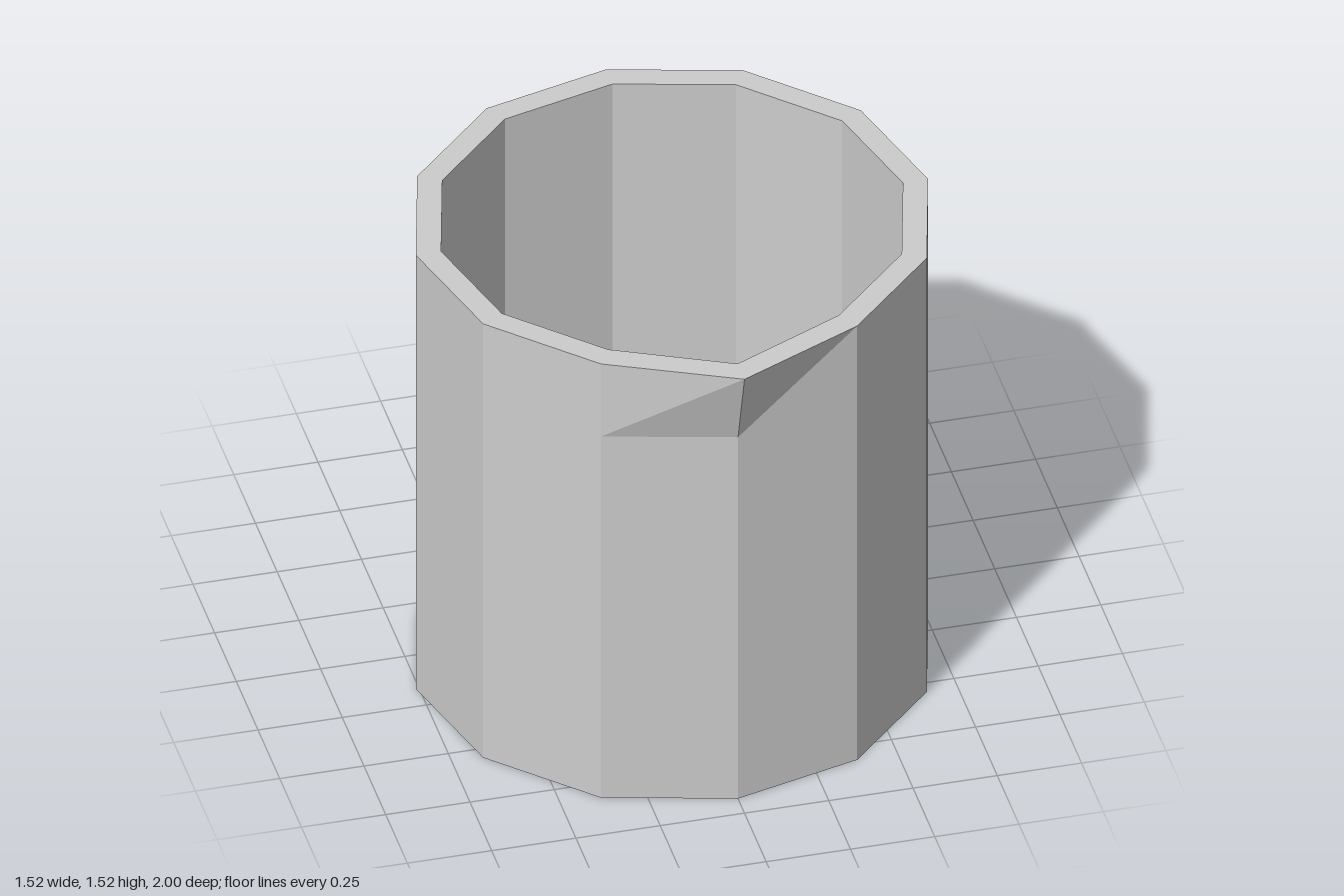
import * as THREE from 'three';

const SIDES = 12;
const CENTRE_Z = 0.165;

// Ring of points around the jug; the front corner is pushed out by `lip`
function ring(radius, y, lip = 0) {
  return Array.from({ length: SIDES }, (_, i) => {
    const a = (i / SIDES) * Math.PI * 2;
    return new THREE.Vector3(Math.sin(a) * radius, y, CENTRE_Z + Math.cos(a) * radius + (i === 0 ? lip : 0));
  });
}

// Flat-faced skin joining successive rings
function skin(rings) {
  const pos = [];
  const tri = (a, b, c) => {
    if (a.distanceTo(b) < 1e-6 || b.distanceTo(c) < 1e-6 || c.distanceTo(a) < 1e-6) return;
    for (const p of [a, b, c]) pos.push(p.x, p.y, p.z);
  };
  for (let r = 0; r < rings.length - 1; r++) {
    for (let i = 0; i < SIDES; i++) {
      const j = (i + 1) % SIDES;
      const [a, b, c, d] = [rings[r][i], rings[r][j], rings[r + 1][j], rings[r + 1][i]];
      tri(a, b, c);
      tri(a, c, d);
    }
  }
  const geometry = new THREE.BufferGeometry();
  geometry.setAttribute('position', new THREE.Float32BufferAttribute(pos, 3));
  geometry.computeVertexNormals();
  return geometry;
}

export function createModel() {
  const group = new THREE.Group();
  group.name = 'jug';
  const grey = new THREE.MeshStandardMaterial({ color: 0xcccccc });
  grey.name = 'light grey';

  // Hollow body: underside, wall, pouring lip, rim, inside wall and floor
  const body = new THREE.Mesh(skin([
    ring(0, 0),
    ring(0.76, 0),
    ring(0.76, 1.27),
    ring(0.76, 1.525, 0.075),
    ring(0.685, 1.525, 0.07),
    ring(0.685, 0.08, 0.012),
    ring(0, 0.08),
  ]), grey);
  body.name = 'body';
  group.add(body);

  // Handle: bent bar outline (distance behind centre, height)
  const outline = [
    [0.565, 1.05], [0.74, 1.05], [0.94, 1.0], [1.0, 0.82], [1.0, 0.61], [0.957, 0.395], [0.74, 0.33], [0.565, 0.33],
    [0.565, 0.53], [0.74, 0.53], [0.807, 0.527], [0.803, 0.61], [0.803, 0.82], [0.807, 0.862], [0.74, 0.853], [0.565, 0.853],
  ];
  const shape = new THREE.Shape(outline.map(([u, v]) => new THREE.Vector2(u, v)));
  const handleGeometry = new THREE.ExtrudeGeometry(shape, { depth: 0.2, bevelEnabled: false });
  handleGeometry.translate(0, 0, -0.1).rotateY(Math.PI / 2);
  const handle = new THREE.Mesh(handleGeometry, grey);
  handle.name = 'handle';
  group.add(handle);

  return group;
}
